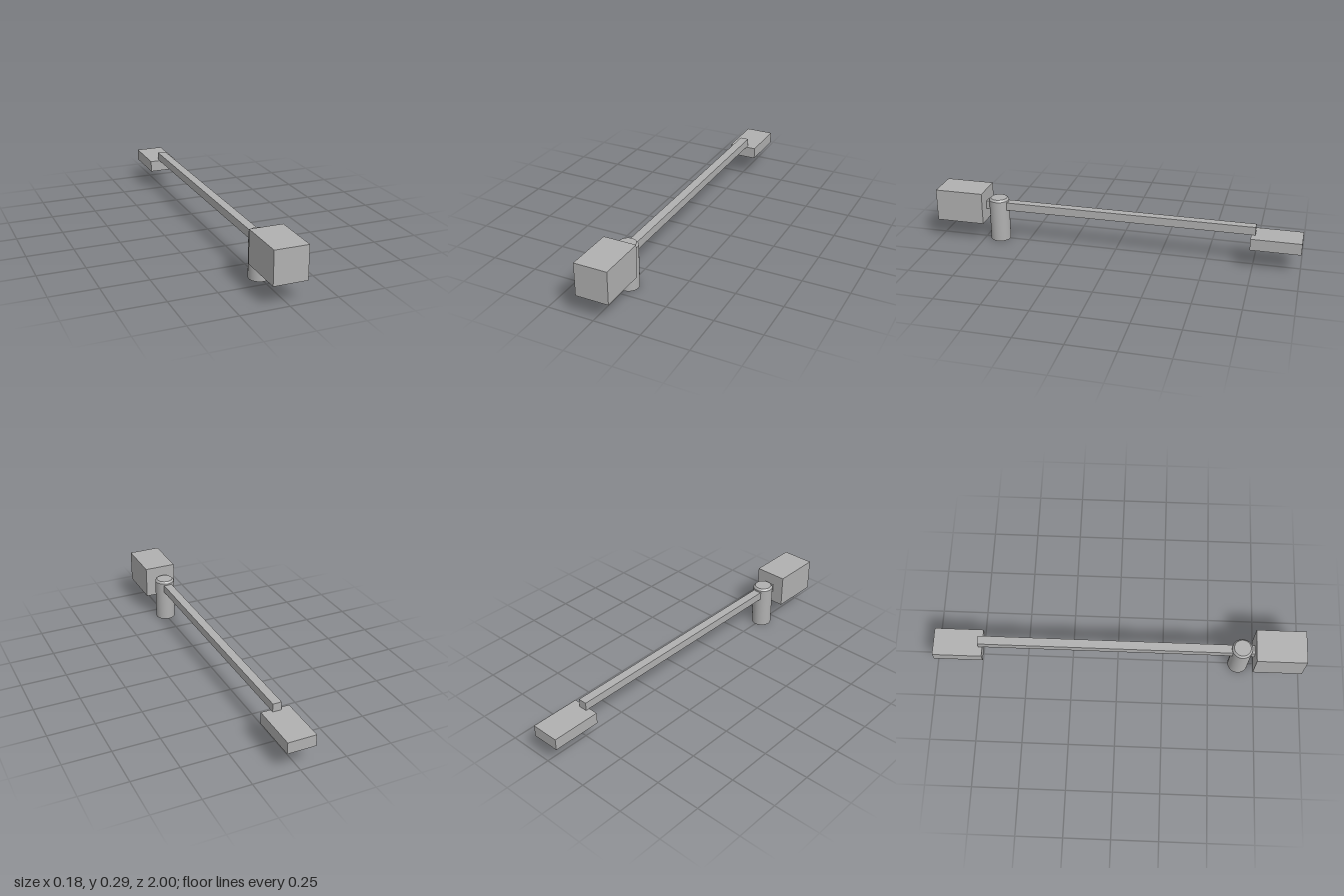
import * as THREE from 'three';

export function createModel() {
  const model = new THREE.Group();
  model.name = 'pivotedArm';
  const grey = new THREE.MeshStandardMaterial({ color: 0xb0b0b0 });
  grey.name = 'plain grey';

  const add = (name, geometry, x, y, z) => {
    const mesh = new THREE.Mesh(geometry, grey);
    mesh.name = name;
    mesh.position.set(x, y, z);
    model.add(mesh);
  };

  // Box given by its width and its y and z extents
  const block = (name, width, y0, y1, z0, z1) =>
    add(name, new THREE.BoxGeometry(width, y1 - y0, z1 - z0), 0, (y0 + y1) / 2, (z0 + z1) / 2);

  block('counterweight', 0.177, 0.113, 0.29, 0.734, 1);
  block('armBeam', 0.047, 0.179, 0.224, -0.755, 0.736);
  block('headBlock', 0.153, 0.116, 0.179, -1, -0.734);

  // Upright pivot with a chamfered top rim
  add('pivotPost', new THREE.CylinderGeometry(0.055, 0.055, 0.233, 48), 0, 0.1165, 0.666);
  add('pivotCap', new THREE.CylinderGeometry(0.045, 0.055, 0.011, 48), 0, 0.2385, 0.666);

  // Small tip under the head
  add('needleTip', new THREE.CylinderGeometry(0.013, 0.01, 0.016, 24), 0, 0.109, -0.92);

  return model;
}
